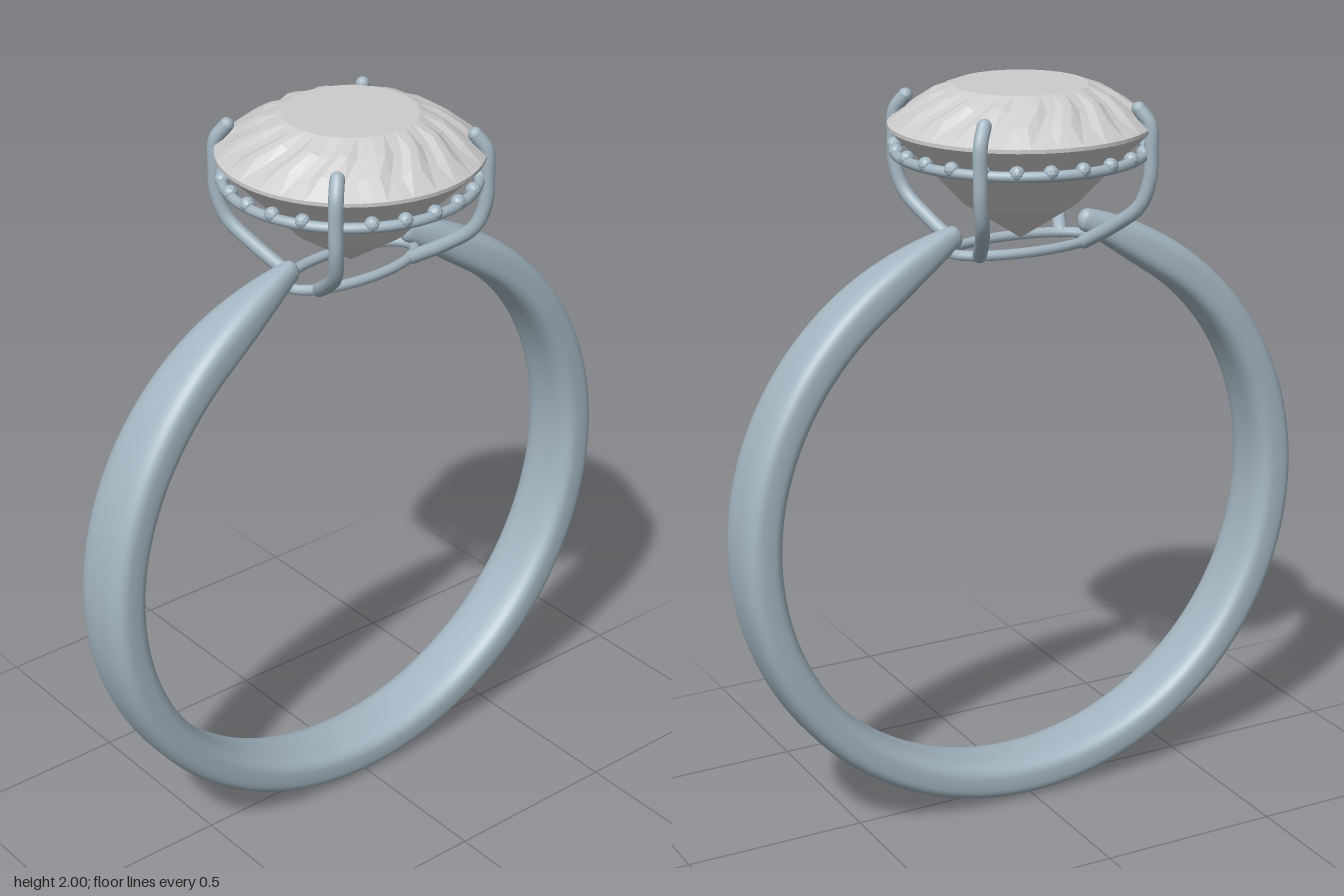
import * as THREE from 'three';

const metal = new THREE.MeshStandardMaterial({ color: 0xa3b5c1 });
const stone = new THREE.MeshStandardMaterial({ color: 0xcccccc, flatShading: true });
const pave = new THREE.MeshStandardMaterial({ color: 0xa3b5c1, flatShading: true });

// Skin a list of closed loops that all hold the same number of points
function loft(loops) {
  const n = loops[0].length, index = [];
  for (let i = 0; i < loops.length - 1; i++) {
    for (let j = 0; j < n; j++) {
      const a = i * n + j, b = i * n + (j + 1) % n;
      index.push(a, b, a + n, b, b + n, a + n);
    }
  }
  const g = new THREE.BufferGeometry();
  g.setAttribute('position', new THREE.Float32BufferAttribute(loops.flat(2), 3));
  g.setIndex(index);
  g.computeVertexNormals();
  return g;
}

function add(parent, name, geometry, material) {
  const m = new THREE.Mesh(geometry, material);
  m.name = name;
  parent.add(m);
  return m;
}

// Open shank: soft rectangular section that narrows and thins towards both shoulders
function bandGeometry() {
  const R = 0.835, start = 0.25, steps = 144, sides = 40, loops = [];
  const section = (a, scale) => {
    const d = Math.max(start, Math.min(a, 2 * Math.PI - a)); // angle from the top
    const s = Math.max(0, 1 - (d - start) / 0.34);
    const inner = 0.725 + 0.047 * s * s;
    const half = 0.095 * (1 - Math.exp(-(d - 0.165) / 0.3));
    const mid = (R + inner) / 2, thick = (R - inner) / 2;
    const p = 2 / (3.2 - 1.0 * s);
    const loop = [];
    for (let j = 0; j < sides; j++) {
      const b = j / sides * Math.PI * 2, c = Math.cos(b), z = Math.sin(b);
      const r = mid + scale * thick * Math.sign(c) * Math.abs(c) ** p;
      loop.push([r * Math.sin(a), R + r * Math.cos(a), scale * half * Math.sign(z) * Math.abs(z) ** p]);
    }
    return loop;
  };
  const cap = [0, 1, 2, 3, 4].map(k => k / 5 * Math.PI / 2);
  for (const t of cap) loops.push(section(start - 0.03 * Math.cos(t), Math.sin(t)));
  for (let i = 0; i <= steps; i++) loops.push(section(start + (2 * Math.PI - 2 * start) * i / steps, 1));
  for (const t of cap.reverse()) loops.push(section(2 * Math.PI - start + 0.03 * Math.cos(t), Math.sin(t)));
  return loft(loops);
}

// Round brilliant: radius, height, twist and facet ripple of each loop
function gemGeometry() {
  const n = 64;
  const rows = [
    [0, 2.0, 0, 0], [0.175, 2.0, 0, 0],
    [0.235, 1.973, 0.12, 0.005], [0.29, 1.938, 0.24, 0.005],
    [0.345, 1.9, 0.32, 0], [0.345, 1.89, 0.32, 0],
    [0.245, 1.79, 0.32, 0], [0.155, 1.693, 0.32, 0], [0, 1.59, 0.32, 0],
  ];
  const loops = rows.map(([r, y, twist, ripple]) => Array.from({ length: n }, (_, j) => {
    const b = j / n * Math.PI * 2 + twist;
    return [r * Math.cos(b), y + ripple * (Math.floor(j / 2) % 2 ? 1 : -1), r * Math.sin(b)];
  }));
  const g = loft(loops).toNonIndexed();
  g.computeVertexNormals();
  return g;
}

export function createModel() {
  const model = new THREE.Group();
  model.name = 'ring';
  add(model, 'band', bandGeometry(), metal);
  add(model, 'centreStone', gemGeometry(), stone);

  // Oval wire joining the shoulders under the stone
  const oval = Array.from({ length: 24 }, (_, i) => {
    const a = i / 24 * Math.PI * 2;
    return new THREE.Vector3(0.205 * Math.cos(a), 1.573, 0.088 * Math.sin(a));
  });
  add(model, 'baseWire', new THREE.TubeGeometry(
    new THREE.CatmullRomCurve3(oval, true), 72, 0.014, 10, true), metal);

  // Four claws, mirrored across x and z
  const claws = new THREE.Group();
  claws.name = 'claws';
  model.add(claws);
  const clawPath = [
    [0.155, 1.575, 0.065], [0.195, 1.635, 0.155], [0.228, 1.695, 0.222], [0.244, 1.765, 0.244],
    [0.246, 1.84, 0.246], [0.243, 1.91, 0.243], [0.222, 1.95, 0.222],
  ];
  for (const sx of [1, -1]) for (const sz of [1, -1]) {
    const pts = clawPath.map(([x, y, z]) => new THREE.Vector3(x * sx, y, z * sz));
    add(claws, 'claw', new THREE.TubeGeometry(new THREE.CatmullRomCurve3(pts), 40, 0.019, 12), metal);
    for (const end of [pts[0], pts[pts.length - 1]]) {
      add(claws, 'clawTip', new THREE.SphereGeometry(0.019, 12, 8), metal).position.copy(end);
    }
  }

  // Halo wire carrying a row of small stones
  const halo = new THREE.Group();
  halo.name = 'halo';
  model.add(halo);
  const wire = add(halo, 'haloWire', new THREE.TorusGeometry(0.329, 0.014, 10, 96), metal);
  wire.rotation.x = Math.PI / 2;
  wire.position.y = 1.828;
  const bead = new THREE.IcosahedronGeometry(0.02, 1);
  for (let i = 0; i < 24; i++) {
    const a = i / 24 * Math.PI * 2;
    const m = add(halo, 'haloStone', bead, pave);
    m.position.set(0.328 * Math.cos(a), 1.837, 0.328 * Math.sin(a));
    m.rotation.y = -a;
  }
  return model;
}
